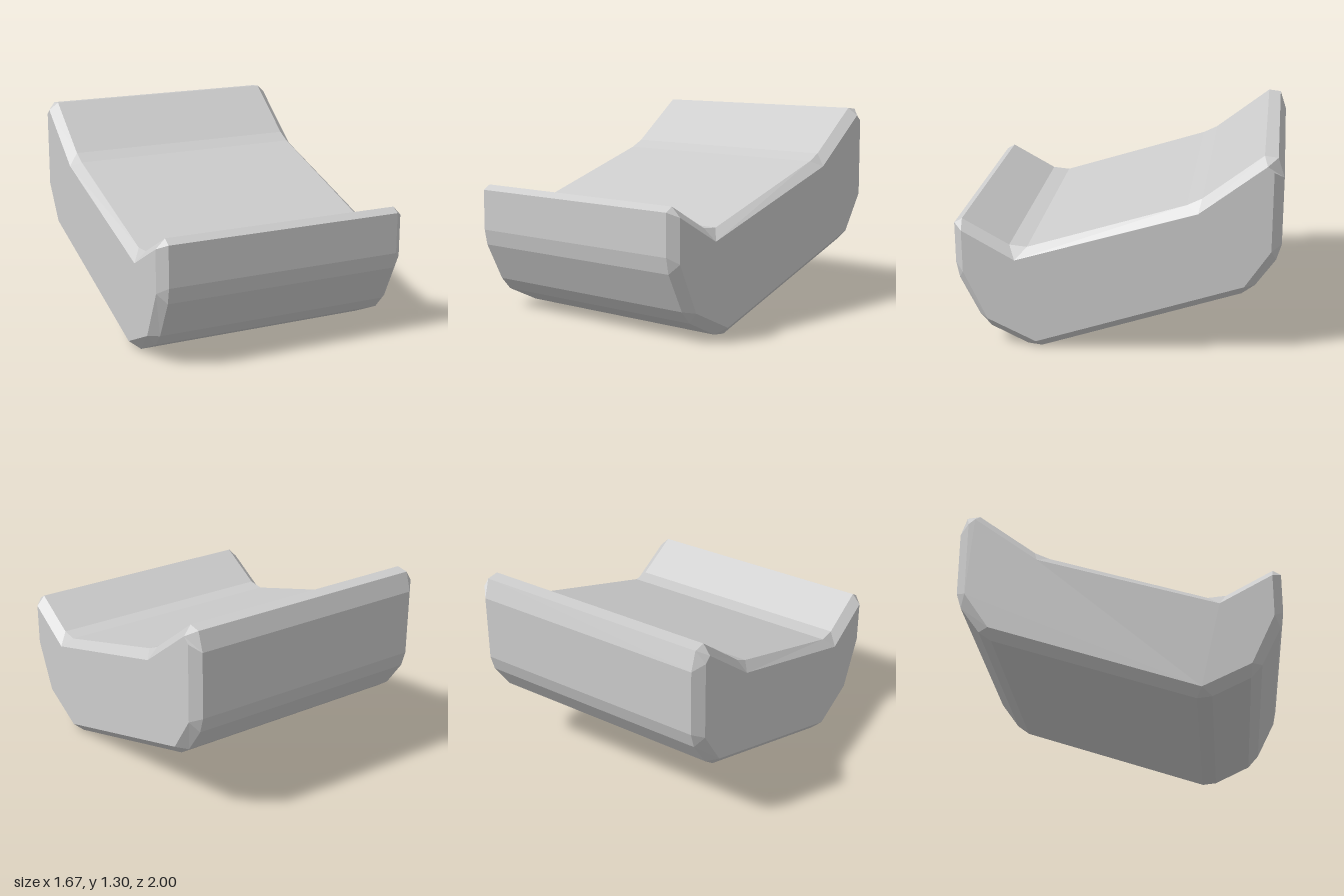
import * as THREE from 'three';

// Side profile, counter-clockwise seen from +x.
// Each corner: [side face corner (z, y), chamfered edge points (z, y)...]
const CORNERS = [
  [[0.945, 0.77], [0.95, 0.83], [1.0, 0.8]],       // front lip
  [[0.945, 0.5], [1.0, 0.54], [0.98, 0.44]],
  [[0.8, 0.19], [0.86, 0.2], [0.79, 0.12]],
  [[0.5, 0.05], [0.56, 0.01], [0.47, 0.0]],        // lowest edge
  [[-0.785, 0.485], [-0.77, 0.42], [-0.85, 0.48]],
  [[-0.94, 0.72], [-0.97, 0.65], [-1.0, 0.75]],
  [[-0.94, 1.215], [-1.0, 1.17]],                  // back top
  [[-0.9, 1.25], [-0.96, 1.29], [-0.88, 1.3]],
  [[-0.5, 0.94], [-0.52, 1.02], [-0.43, 0.975]],   // seat to back
  [[0.62, 0.59], [0.55, 0.66], [0.66, 0.67]],      // seat to lip
];
const EDGE_X = 0.775;
const SIDE_X = 0.833;

function createBodyGeometry() {
  const positions = [];
  const a = new THREE.Vector3(), b = new THREE.Vector3();
  const tri = (p, q, r) => {
    const area = a.subVectors(q, p).cross(b.subVectors(r, p)).length();
    if (area > 1e-7) for (const v of [p, q, r]) positions.push(v.x, v.y, v.z);
  };

  // Four matching cross-sections from the right side to the left
  const pairs = CORNERS.flatMap(([side, ...edges]) => edges.map((edge) => [side, edge]));
  const ring = (x, k) => pairs.map((p) => new THREE.Vector3(x, p[k][1], p[k][0]));
  const rings = [ring(-SIDE_X, 0), ring(-EDGE_X, 1), ring(EDGE_X, 1), ring(SIDE_X, 0)];
  for (let s = 0; s < 3; s++) {
    for (let i = 0; i < pairs.length; i++) {
      const j = (i + 1) % pairs.length;
      tri(rings[s][i], rings[s][j], rings[s + 1][j]);
      tri(rings[s][i], rings[s + 1][j], rings[s + 1][i]);
    }
  }

  // Flat side faces
  const outline = CORNERS.map(([[z, y]]) => new THREE.Vector2(-z, y));
  for (const [i, j, k] of THREE.ShapeUtils.triangulateShape(outline, [])) {
    const at = (n, x) => new THREE.Vector3(x, outline[n].y, -outline[n].x);
    tri(at(i, SIDE_X), at(j, SIDE_X), at(k, SIDE_X));
    tri(at(k, -SIDE_X), at(j, -SIDE_X), at(i, -SIDE_X));
  }

  const geometry = new THREE.BufferGeometry();
  geometry.setAttribute('position', new THREE.Float32BufferAttribute(positions, 3));
  geometry.computeVertexNormals(); // unshared corners give flat faces
  return geometry;
}

export function createModel() {
  const group = new THREE.Group();
  group.name = 'chamferedCradle';
  const lightGrey = new THREE.MeshStandardMaterial({ color: 0xcccccc });
  lightGrey.name = 'light grey';
  const body = new THREE.Mesh(createBodyGeometry(), lightGrey);
  body.name = 'cradleBody';
  group.add(body);
  return group;
}
